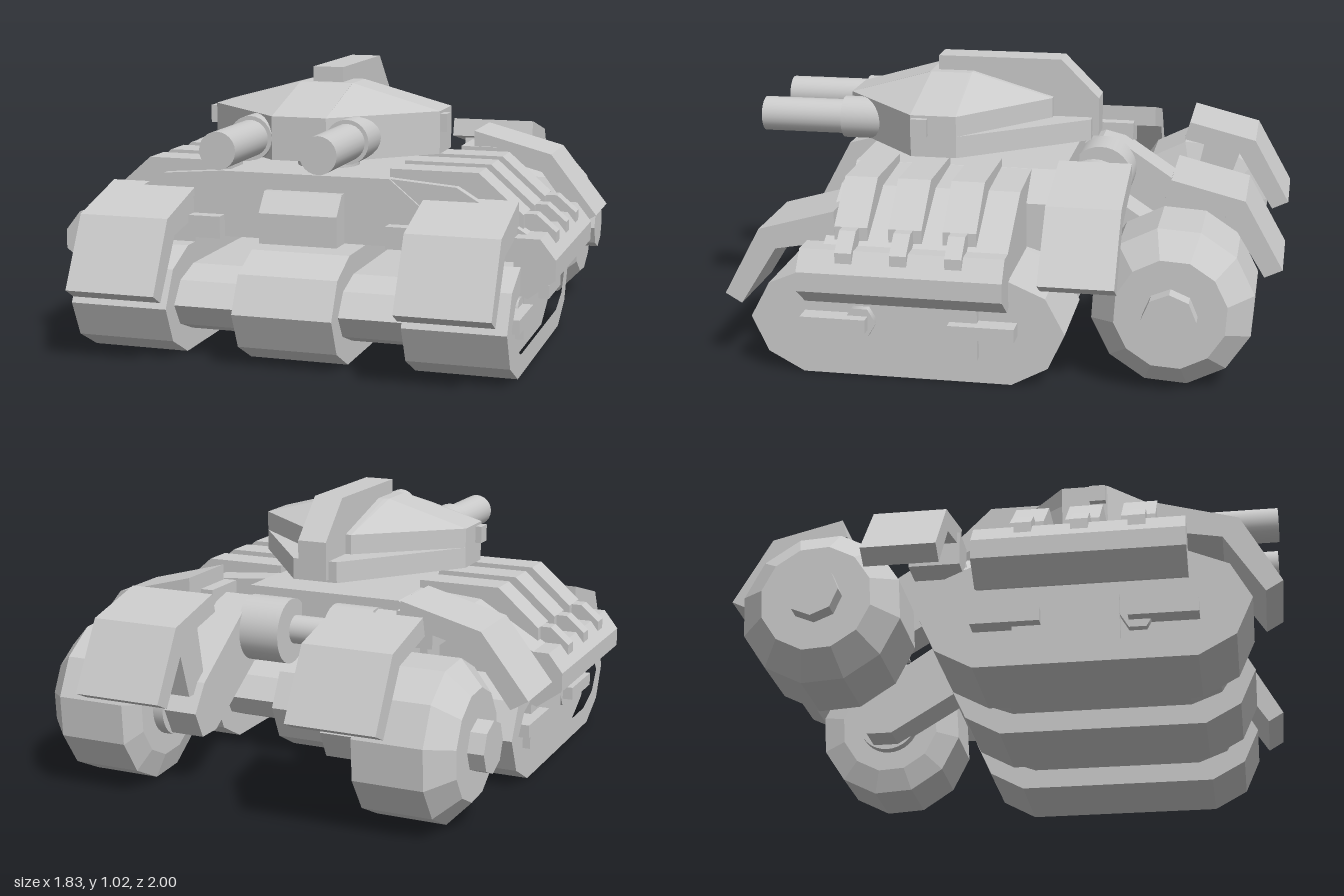
import * as THREE from 'three';

const mat = new THREE.MeshStandardMaterial({ color: 0xcccccc });
const flat = new THREE.MeshStandardMaterial({ color: 0xcccccc, flatShading: true });

function add(parent, name, geo, material = mat) {
  const m = new THREE.Mesh(geo, material);
  m.name = name;
  parent.add(m);
  return m;
}
const shape = (pts) => new THREE.Shape(pts.map(([a, b]) => new THREE.Vector2(a, b)));
const extrude = (s, depth) => new THREE.ExtrudeGeometry(s, { depth, bevelEnabled: false });

// side profile of [z, y] points, extruded from x0 to x1
function sideGeo(pts, x0, x1, hole) {
  const s = shape(pts);
  if (hole) s.holes.push(new THREE.Path(hole.map(([a, b]) => new THREE.Vector2(a, b))));
  return extrude(s, x1 - x0).rotateY(-Math.PI / 2).translate(x1, 0, 0);
}
// front profile of [x, y] points, extruded from z0 to z1
const frontGeo = (pts, z0, z1) => extrude(shape(pts), z1 - z0).translate(0, 0, z0);
// box given by its limits
const boxGeo = (x0, x1, y0, y1, z0, z1) => new THREE.BoxGeometry(x1 - x0, y1 - y0, z1 - z0)
  .translate((x0 + x1) / 2, (y0 + y1) / 2, (z0 + z1) / 2);
// cylinder lying along x
const axleGeo = (r, x0, x1, y, z, sides = 32) => new THREE.CylinderGeometry(r, r, x1 - x0, sides)
  .rotateZ(Math.PI / 2).translate((x0 + x1) / 2, y, z);

// closed solid through equal-length rings of [x, y, z]
function loft(rings) {
  const n = rings[0].length, pos = [];
  const tri = (...p) => p.forEach((v) => pos.push(...v));
  for (let r = 0; r + 1 < rings.length; r++) {
    for (let i = 0; i < n; i++) {
      const j = (i + 1) % n, a = rings[r], b = rings[r + 1];
      tri(a[i], a[j], b[j]);
      tri(a[i], b[j], b[i]);
    }
  }
  const top = rings[rings.length - 1], bot = rings[0];
  for (let i = 1; i + 1 < n; i++) {
    tri(top[0], top[i], top[i + 1]);
    tri(bot[0], bot[i + 1], bot[i]);
  }
  const g = new THREE.BufferGeometry();
  g.setAttribute('position', new THREE.Float32BufferAttribute(pos, 3));
  g.computeVertexNormals();
  return g;
}
// symmetric ring at height y from its +x half, listed front to back
const ring = (half, y) => [
  ...half.map(([x, z]) => [x, y, z]),
  ...half.slice().reverse().map(([x, z]) => [-x, y, z]),
];

const TRACK = [[0.88, 0.2], [0.82, 0.07], [0.69, 0], [-0.07, 0], [-0.2, 0.07], [-0.26, 0.2],
  [-0.19, 0.33], [-0.05, 0.39], [0.67, 0.39], [0.81, 0.33]];
const insetTrack = (k) => TRACK.map(([z, y]) => [
  0.31 + (z - 0.31) * (1 - k / 0.57), 0.195 + (y - 0.195) * (1 - k / 0.195)]);

function buildSide(side) {
  // outer track with a recessed wheel bay
  const track = new THREE.Group();
  track.name = 'outerTrack';
  side.add(track);
  add(track, 'trackCore', sideGeo(TRACK, 0.43, 0.73));
  add(track, 'trackRim', sideGeo(TRACK, 0.73, 0.795, insetTrack(0.075)));
  add(track, 'bayBlock', sideGeo([[0.43, 0.07], [0.06, 0.07], [0.06, 0.26], [0.43, 0.26]], 0.72, 0.76));
  for (const z of [0.58, 0.04]) {
    add(track, 'bayBar', boxGeo(0.72, 0.8, 0.16, 0.21, z - 0.12, z + 0.12));
    add(track, 'bayWheel', axleGeo(0.06, 0.72, 0.76, 0.185, z < 0.3 ? 0.13 : 0.49, 6));
  }

  // deck above the track, ribs and skirt
  add(side, 'sideDeck', frontGeo([[0.3, 0.66], [0.55, 0.64], [0.8, 0.49], [0.8, 0.39], [0.43, 0.39], [0.43, 0.42], [0.3, 0.42]], -0.06, 0.6));
  add(side, 'skirt', frontGeo([[0.77, 0.49], [0.86, 0.49], [0.915, 0.42], [0.915, 0.35], [0.82, 0.28], [0.77, 0.3]], -0.06, 0.67));
  for (const z of [0.115, 0.31, 0.505]) {
    add(side, 'rib', frontGeo([[0.3, 0.69], [0.62, 0.69], [0.78, 0.55], [0.78, 0.45], [0.3, 0.45]], z - 0.06, z + 0.06));
    add(side, 'ribClip', frontGeo([[0.77, 0.55], [0.82, 0.55], [0.89, 0.49], [0.89, 0.43], [0.77, 0.43]], z - 0.03, z + 0.03));
  }
  add(side, 'frontBracket', boxGeo(0.31, 0.47, 0.42, 0.5, 0.5, 0.66));
  add(side, 'frontFender', sideGeo([[0.57, 0.6], [0.85, 0.52], [0.985, 0.27], [0.925, 0.235], [0.79, 0.45], [0.57, 0.49]], 0.43, 0.765));

  // rear wheel on its swing arm
  const R = 0.29;
  const wheel = new THREE.LatheGeometry([[0, 0], [0.2, 0], [R, 0.03], [R, 0.29], [0.2, 0.375], [0, 0.375]]
    .map(([r, y]) => new THREE.Vector2(r, y)), 12);
  wheel.rotateZ(-Math.PI / 2).rotateX(0.2).translate(0.42, 0.3, -0.625);
  add(side, 'rearWheel', wheel, flat);
  add(side, 'wheelHub', axleGeo(0.095, 0.78, 0.855, 0.3, -0.625, 8), flat);
  add(side, 'wheelAxle', axleGeo(0.12, 0.38, 0.44, 0.3, -0.625));
  add(side, 'armPivot', axleGeo(0.125, 0.09, 0.26, 0.52, -0.265));
  add(side, 'swingArm', sideGeo([[-0.15, 0.54], [-0.17, 0.61], [-0.25, 0.64], [-0.33, 0.62], [-0.66, 0.4],
    [-0.73, 0.3], [-0.68, 0.2], [-0.58, 0.2], [-0.2, 0.43], [-0.15, 0.48]], 0.25, 0.4));
  add(side, 'rearFender', sideGeo([[-0.6, 0.72], [-0.86, 0.655], [-0.998, 0.41], [-0.935, 0.38], [-0.8, 0.6], [-0.58, 0.65]], 0.245, 0.58));
  add(side, 'rearFenderBracket', sideGeo([[-0.66, 0.64], [-0.8, 0.6], [-0.72, 0.36], [-0.6, 0.36]], 0.28, 0.39));
  add(side, 'rearArmor', frontGeo([[0.43, 0.73], [0.735, 0.65], [0.915, 0.42], [0.85, 0.38], [0.7, 0.58], [0.43, 0.65]], -0.445, -0.18));
  add(side, 'rearArmorBracket', boxGeo(0.38, 0.52, 0.54, 0.67, -0.36, -0.17));

  // gun with sleeve, and a lamp on the turret flank
  const gun = new THREE.Group();
  gun.name = 'gun';
  gun.position.set(0.178, 0.795, 0);
  side.add(gun);
  add(gun, 'barrel', new THREE.CylinderGeometry(0.065, 0.065, 0.45, 24).rotateX(Math.PI / 2).translate(0, 0, 0.775));
  add(gun, 'barrelSleeve', new THREE.CylinderGeometry(0.079, 0.079, 0.2, 24).rotateX(Math.PI / 2).translate(0, 0, 0.585));
  add(side, 'turretLamp', boxGeo(0.41, 0.455, 0.8, 0.865, 0.305, 0.365));
}

export function createModel() {
  const model = new THREE.Group();
  model.name = 'tank';

  for (const s of [1, -1]) {
    const side = new THREE.Group();
    side.name = s > 0 ? 'leftSide' : 'rightSide';
    side.scale.x = s;
    buildSide(side);
    model.add(side);
  }

  // undercarriage between the outer tracks
  add(model, 'centreTrack', sideGeo(TRACK, -0.183, 0.183));
  add(model, 'trackBridge', sideGeo(insetTrack(0.075), -0.44, 0.44));
  add(model, 'rearPivotShaft', axleGeo(0.055, -0.12, 0.12, 0.52, -0.235));

  // hull
  add(model, 'hull', frontGeo([[-0.43, 0.42], [0.43, 0.42], [0.43, 0.56], [0.31, 0.66], [-0.31, 0.66], [-0.43, 0.56]], -0.18, 0.61));
  add(model, 'noseBlock', sideGeo([[0.5, 0.42], [0.7, 0.42], [0.7, 0.53], [0.64, 0.6], [0.5, 0.6]], -0.145, 0.145));

  // turret
  const turret = new THREE.Group();
  turret.name = 'turret';
  model.add(turret);
  add(turret, 'turretNeck', new THREE.CylinderGeometry(0.115, 0.115, 0.12, 24).translate(0, 0.69, 0.34));
  const base = [[0.1, 0.68], [0.43, 0.37], [0.43, 0.2], [0.09, -0.25]];
  const body = [[0.1, 0.68], [0.43, 0.37], [0.43, 0.2], [0.08, -0.1]];
  const roof = [[0.1, 0.37], [0.1, 0.365], [0.1, 0.215], [0.08, 0.21]];
  add(turret, 'turretBase', loft([ring(base, 0.72), ring(base, 0.8)]));
  add(turret, 'turretBody', loft([ring(body, 0.78), ring(body, 0.875), ring(roof, 0.965)]));
  add(turret, 'turretFin', sideGeo([[0.345, 1.02], [-0.13, 1.02], [-0.275, 0.875], [-0.275, 0.73], [-0.2, 0.73], [0.345, 0.9]], -0.057, 0.057));
  return model;
}
